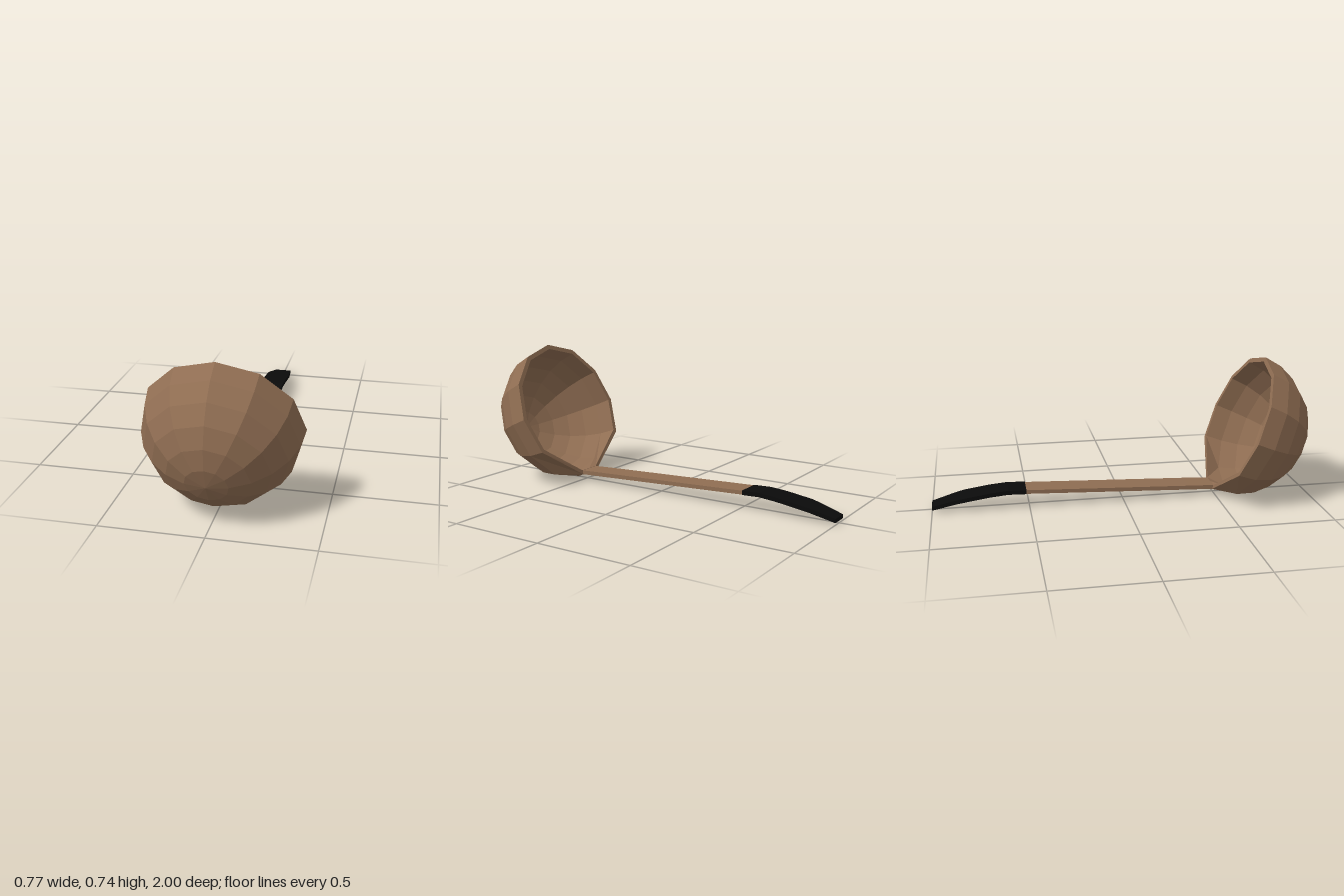
import * as THREE from 'three';

const wood = new THREE.MeshStandardMaterial({ color: 0x8f6d52, flatShading: true });
const black = new THREE.MeshStandardMaterial({ color: 0x0b0b0b, flatShading: true });

// Surface through a list of equally long closed loops, flat shaded
function loft(loops, caps) {
  const n = loops[0].length, pos = [];
  const tri = (a, b, c) => pos.push(...a, ...b, ...c);
  for (let i = 0; i < loops.length - 1; i++) {
    for (let j = 0; j < n; j++) {
      const k = (j + 1) % n;
      const a = loops[i][j], b = loops[i][k], c = loops[i + 1][j], d = loops[i + 1][k];
      if (i > 0 || caps) tri(a, b, d);
      if (i < loops.length - 2 || caps) tri(a, d, c);
    }
  }
  if (caps) {
    const s = loops[0], e = loops[loops.length - 1];
    for (let j = 1; j < n - 1; j++) {
      tri(s[0], s[j + 1], s[j]);
      tri(e[0], e[j], e[j + 1]);
    }
  }
  const g = new THREE.BufferGeometry();
  g.setAttribute('position', new THREE.Float32BufferAttribute(pos, 3));
  g.computeVertexNormals();
  return g;
}

// Tilted hemispherical shell whose rim is drawn in to meet the handle
function bowlGeometry() {
  const SEG = 12, RINGS = 6, cy = 0.381, cz = 0.618, ty = 0.919, tz = 0.394;
  const ring = (radius, i, inner) => {
    const a = (i / RINGS) * Math.PI / 2, r = radius * Math.sin(a), h = radius * Math.cos(a);
    const pts = [];
    for (let j = 0; j < SEG; j++) {
      const t = (j / SEG) * Math.PI * 2, u = r * Math.cos(t);
      pts.push([r * Math.sin(t), cy + ty * u - tz * h, cz + tz * u + ty * h]);
    }
    if (i === RINGS) {
      const y = inner ? 0.056 : 0.034, z = inner ? 0.489 : 0.483;
      pts[5] = [0.06, y, z];
      pts[6] = [0, y, z];
      pts[7] = [-0.06, y, z];
    }
    return pts;
  };
  const loops = [];
  for (let i = 0; i <= RINGS; i++) loops.push(ring(0.385, i, false));
  for (let i = RINGS; i >= 0; i--) loops.push(ring(0.36, i, true));
  return loft(loops, false);
}

// Flat bar along -z from stations [z, centre height, half width, half thickness]
function bar(stations) {
  return loft(stations.map(([z, y, w, t]) => [
    [-w, y - t, z], [-w, y + t, z], [w, y + t, z], [w, y - t, z],
  ]), true);
}

export function createModel() {
  const group = new THREE.Group();
  const add = (name, geometry, material) => {
    const mesh = new THREE.Mesh(geometry, material);
    mesh.name = name;
    group.add(mesh);
  };

  add('bowl', bowlGeometry(), wood);
  add('handle', bar([
    [0.487, 0.045, 0.06, 0.011],
    [0.35, 0.051, 0.062, 0.011],
    [-0.525, 0.085, 0.062, 0.01],
  ]), wood);
  // Curved grip, narrowing at its end
  add('grip', bar([
    [-0.515, 0.085, 0.065, 0.011],
    [-0.61, 0.088, 0.066, 0.011],
    [-0.7, 0.08, 0.067, 0.011],
    [-0.83, 0.061, 0.067, 0.011],
    [-0.87, 0.053, 0.062, 0.011],
    [-1, 0.019, 0.046, 0.01],
  ]), black);

  return group;
}
